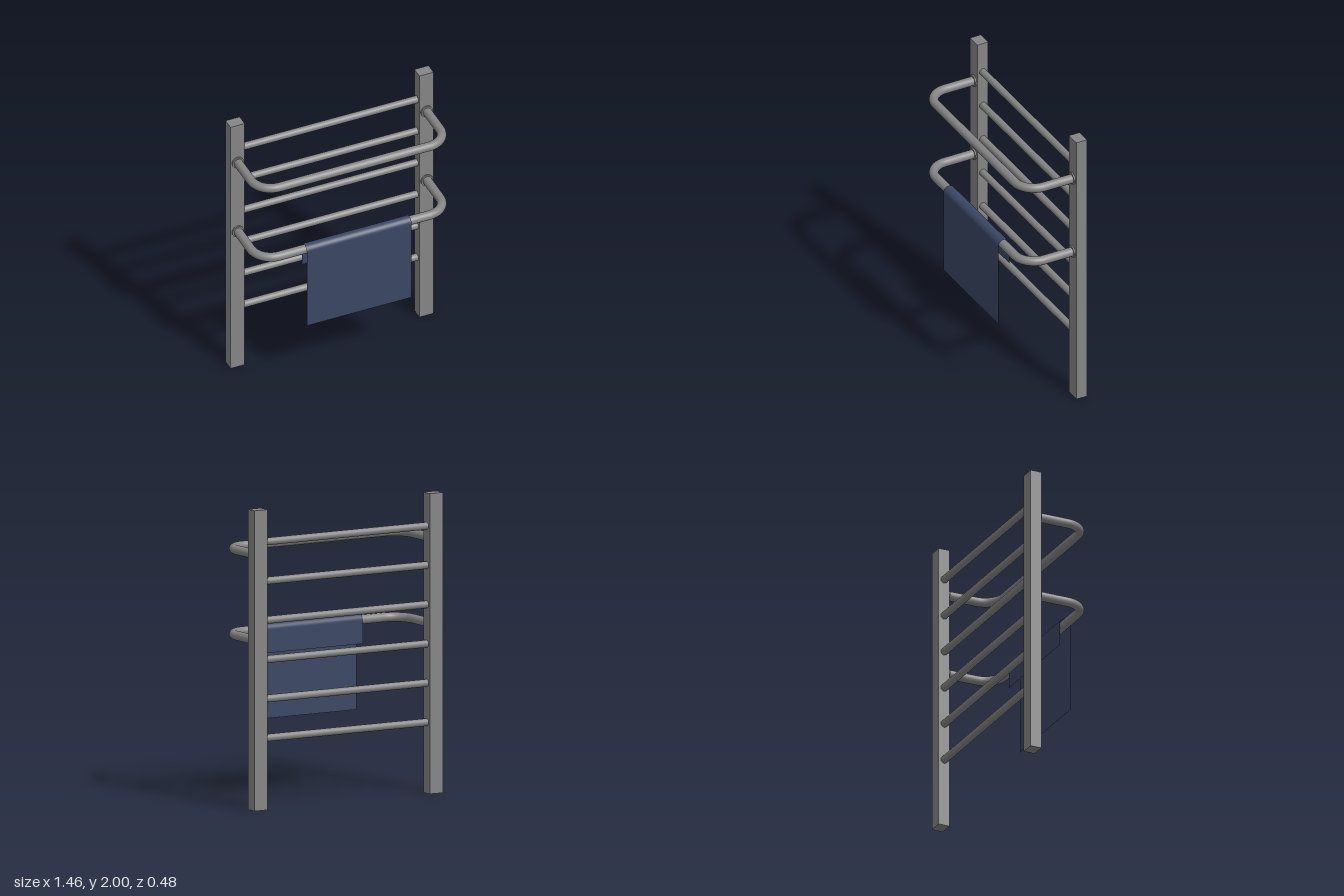
import * as THREE from 'three';

const metal = new THREE.MeshStandardMaterial({ color: 0x858585 });
metal.name = 'brushed grey metal';
const cloth = new THREE.MeshStandardMaterial({ color: 0x3a4664, side: THREE.DoubleSide });
cloth.name = 'navy cloth';

const POST_X = 0.68, POST_Z = -0.2, BAR_Z = 0.197, HOOP_Y = [1.695, 1.125];

function add(parent, name, geometry, material, x = 0, y = 0, z = 0) {
  const mesh = new THREE.Mesh(geometry, material);
  mesh.name = name;
  mesh.position.set(x, y, z);
  parent.add(mesh);
  return mesh;
}

// U-shaped rail: out from one post, round two corners, back to the other
function hoopGeometry() {
  const r = 0.14, k = r * 0.4477, start = -0.17, c = POST_X - r;
  const v = (x, z) => new THREE.Vector3(x, 0, z);
  const path = new THREE.CurvePath();
  path.add(new THREE.LineCurve3(v(-POST_X, start), v(-POST_X, BAR_Z - r)));
  path.add(new THREE.CubicBezierCurve3(v(-POST_X, BAR_Z - r), v(-POST_X, BAR_Z - k), v(-POST_X + k, BAR_Z), v(-c, BAR_Z)));
  path.add(new THREE.LineCurve3(v(-c, BAR_Z), v(c, BAR_Z)));
  path.add(new THREE.CubicBezierCurve3(v(c, BAR_Z), v(POST_X - k, BAR_Z), v(POST_X, BAR_Z - k), v(POST_X, BAR_Z - r)));
  path.add(new THREE.LineCurve3(v(POST_X, BAR_Z - r), v(POST_X, start)));
  return new THREE.TubeGeometry(path, 140, 0.031, 24);
}

// Sheet that runs from the short back flap over the rail to the long front flap
function towelGeometry() {
  const r = 0.041, arcSteps = 16, y = HOOP_Y[1], z = 0.2;
  const profile = [[0.97, z - r]];
  for (let i = 0; i <= arcSteps; i++) {
    const a = Math.PI * (1 - i / arcSteps);
    profile.push([y + r * Math.sin(a), z + r * Math.cos(a)]);
  }
  profile.push([0.52, z + r]);
  const geometry = new THREE.PlaneGeometry(0.755, 1, 1, profile.length - 1);
  const pos = geometry.attributes.position;
  for (let i = 0; i < pos.count; i++) {
    const [py, pz] = profile[Math.floor(i / 2)];
    pos.setY(i, py);
    pos.setZ(i, pz);
  }
  geometry.computeVertexNormals();
  return geometry;
}

export function createModel() {
  const group = new THREE.Group();
  group.name = 'towel rack';

  // Square uprights
  const post = new THREE.BoxGeometry(0.102, 2, 0.08);
  for (const side of [-1, 1]) {
    add(group, side > 0 ? 'leftPost' : 'rightPost', post, metal, side * POST_X, 1, POST_Z);
  }

  // Six evenly spaced rungs
  const rung = new THREE.CylinderGeometry(0.025, 0.025, 1.28, 24).rotateZ(Math.PI / 2);
  for (let i = 0; i < 6; i++) add(group, 'rung', rung, metal, 0, 0.473 + i * 0.2615, POST_Z);

  // Two projecting rails with collars at the posts
  const hoop = hoopGeometry();
  const collar = new THREE.CylinderGeometry(0.042, 0.042, 0.012, 28).rotateX(Math.PI / 2);
  for (const y of HOOP_Y) {
    add(group, 'frontRail', hoop, metal, 0, y, 0);
    for (const side of [-1, 1]) add(group, 'railCollar', collar, metal, side * POST_X, y, -0.156);
  }

  // Towel over the lower rail
  add(group, 'towel', towelGeometry(), cloth, 0.0175, 0, 0);
  return group;
}
